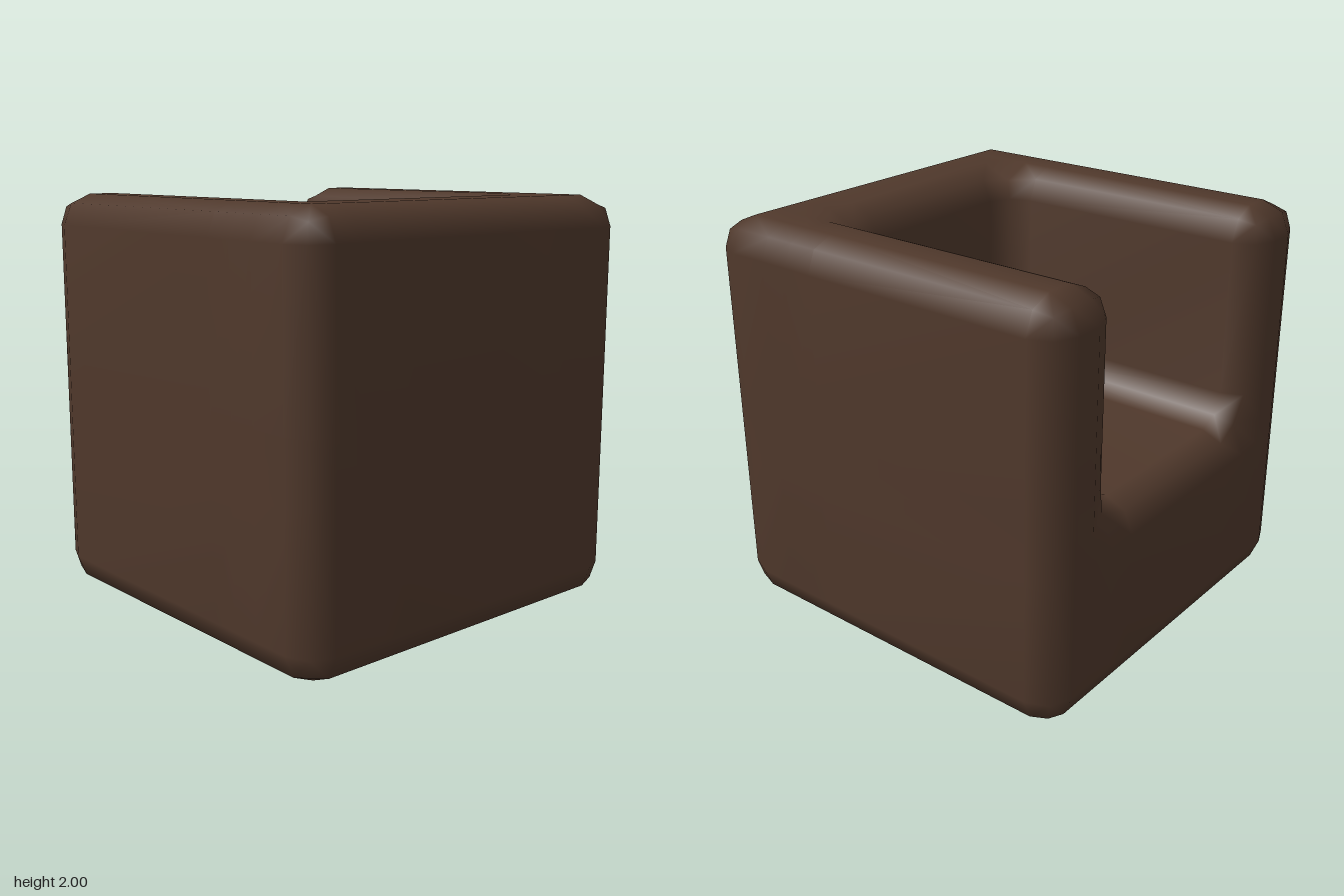
import * as THREE from 'three';

const R = 0.15; // bevel radius of every edge
const SEAT = 0.93, ARM = 0.57, BACK = 0.5; // seat height, arm inner faces, backrest inner face

// Grid lines: each hard edge plus one line a bevel radius to either side
const LINES = [
  [-1, -1 + R, BACK - R, BACK, BACK + R, 1 - R, 1],
  [0, R, SEAT - R, SEAT, SEAT + R, 2 - R, 2],
  [-1, -1 + R, -ARM - R, -ARM, -ARM + R, ARM - R, ARM, ARM + R, 1 - R, 1],
];

// Block with a seat pocket open at the top and toward -x
function solid([x, y, z]) {
  const inBlock = Math.abs(x) < 1 && y > 0 && y < 2 && Math.abs(z) < 1;
  const inPocket = x < BACK && y > SEAT && Math.abs(z) < ARM;
  return inBlock && !inPocket;
}

// Pull a point on a hard edge onto the bevel arc: convex edges inward, concave edges outward
function bevel(p) {
  const e = 0.01, shift = [0, 0, 0];
  let edges = 0;
  for (let a = 0; a < 3; a++) {
    const b = (a + 1) % 3, c = (a + 2) % 3;
    for (const d of [-1, 1]) {
      const filled = [], empty = [];
      for (const sb of [-1, 1]) for (const sc of [-1, 1]) {
        const q = [...p];
        q[a] += d * e; q[b] += sb * e; q[c] += sc * e;
        (solid(q) ? filled : empty).push([sb, sc]);
      }
      const odd = filled.length === 1 ? filled[0] : empty.length === 1 ? empty[0] : null;
      if (!odd) continue;
      edges++;
      shift[b] += odd[0];
      shift[c] += odd[1];
    }
  }
  const k = edges > 2 ? R * (1 - Math.sqrt(1 / 3)) / 2 : R * (1 - Math.SQRT1_2) / 2;
  return p.map((v, i) => v + k * shift[i]);
}

function bodyGeometry() {
  const positions = [], index = [], ids = new Map();
  const vertex = (g) => {
    const key = g.join();
    if (!ids.has(key)) {
      ids.set(key, positions.length / 3);
      positions.push(...bevel(g.map((n, a) => LINES[a][n])));
    }
    return ids.get(key);
  };
  const cellSolid = (g) => {
    if (g.some((n, a) => n < 0 || n >= LINES[a].length - 1)) return false;
    return solid(g.map((n, a) => (LINES[a][n] + LINES[a][n + 1]) / 2));
  };

  // One quad wherever a filled cell borders an empty one
  for (let i = 0; i < LINES[0].length - 1; i++)
    for (let j = 0; j < LINES[1].length - 1; j++)
      for (let k = 0; k < LINES[2].length - 1; k++) {
        const cell = [i, j, k];
        if (!cellSolid(cell)) continue;
        for (let a = 0; a < 3; a++) for (const d of [-1, 1]) {
          const next = [...cell];
          next[a] += d;
          if (cellSolid(next)) continue;
          const quad = [[0, 0], [1, 0], [1, 1], [0, 1]].map(([u, v]) => {
            const g = [...cell];
            if (d > 0) g[a]++;
            g[(a + 1) % 3] += u;
            g[(a + 2) % 3] += v;
            return vertex(g);
          });
          if (d < 0) quad.reverse();
          index.push(quad[0], quad[1], quad[2], quad[0], quad[2], quad[3]);
        }
      }

  const geometry = new THREE.BufferGeometry();
  geometry.setAttribute('position', new THREE.Float32BufferAttribute(positions, 3));
  geometry.setIndex(index);
  geometry.computeVertexNormals();
  return geometry;
}

export function createModel() {
  const group = new THREE.Group();
  group.name = 'armchair';

  // Seat, arms and backrest in one softly bevelled block
  const body = new THREE.Mesh(bodyGeometry(), new THREE.MeshStandardMaterial({ color: 0x4f382b }));
  body.name = 'armchairBody';
  group.add(body);
  return group;
}
